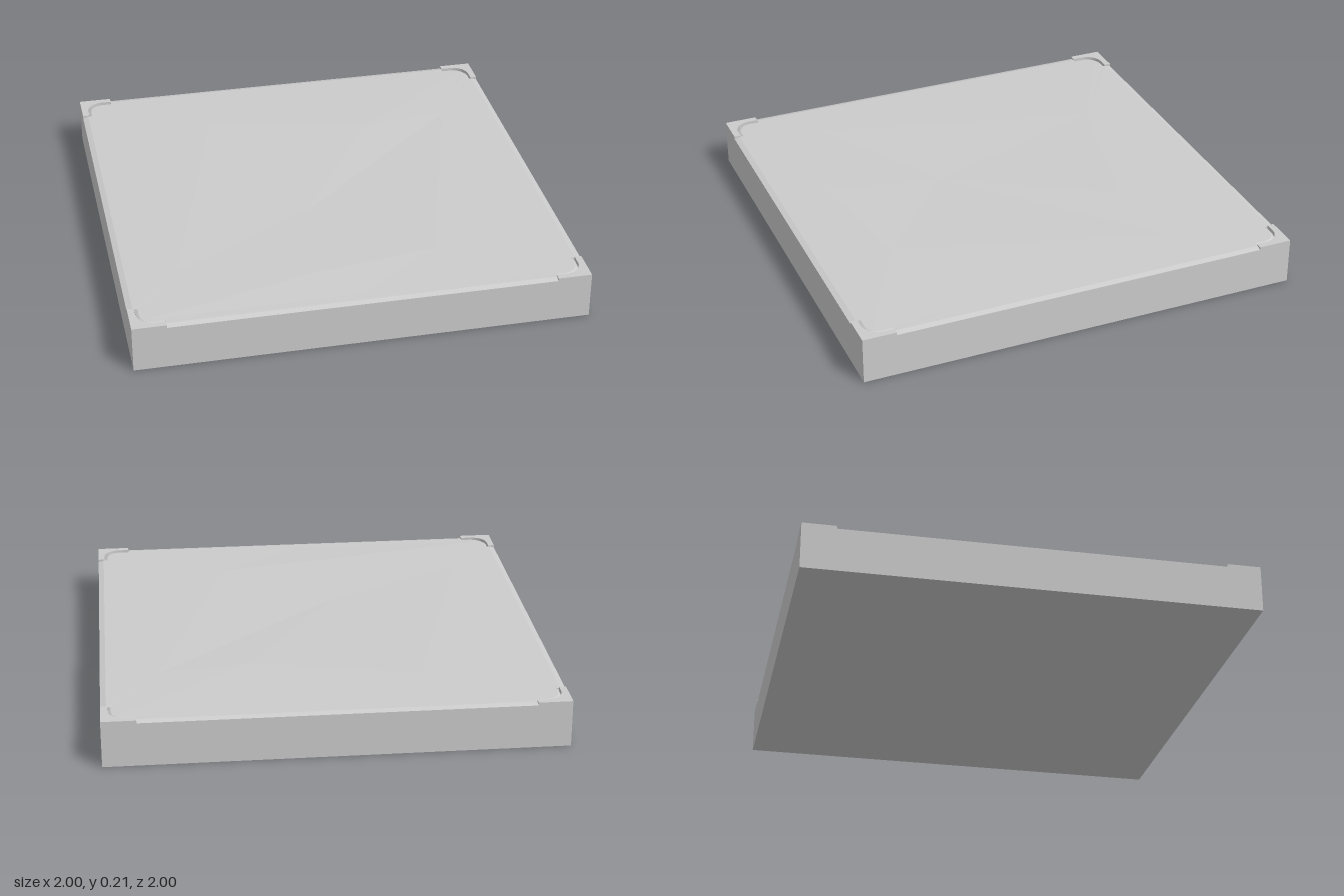
import * as THREE from 'three';

const BASE_TOP = 0.19, TOP = 0.21;

// Quarter-turn k about y, from +x towards +z
function turn([x, z], k) {
  for (let i = 0; i < k; i++) [x, z] = [-z, x];
  return [x, z];
}

// Closed outline: straight sides, notched and rounded at each corner
function outline(side, inset, radius, y) {
  const corner = [[side, 0.85], [inset, 0.85]];
  for (let i = 0; i < 5; i++) {
    const a = (i / 4) * Math.PI / 2;
    corner.push([0.895 + radius * Math.cos(a), 0.895 + radius * Math.sin(a)]);
  }
  corner.push([0.85, inset], [0.85, side]);
  const ring = [];
  for (let k = 0; k < 4; k++) {
    for (const p of corner) {
      const [x, z] = turn(p, k);
      ring.push(new THREE.Vector3(x, y, z));
    }
  }
  return ring;
}

function groundGeometry() {
  const rim = outline(0.975, 0.955, 0.06, 0.204);
  const edge = outline(1, 0.967, 0.072, 0.197);
  const foot = outline(1, 0.967, 0.072, BASE_TOP);
  const n = rim.length;
  const positions = [];
  const tri = (...pts) => pts.forEach((p) => positions.push(p.x, p.y, p.z));

  // Gentle bumps and hollows
  const P = [
    [-0.4, 0.213, -0.66], [0.34, 0.214, -0.48], [0.74, 0.208, -0.53], [-0.1, 0.206, 0.23],
    [-0.75, 0.207, 0.6], [-0.2, 0.213, 0.75], [0.39, 0.208, 0.65], [0, 0.205, 0.93],
  ].map((p) => new THREE.Vector3(...p));
  const [C, D, A, B] = [0, 1, 2, 3].map((k) => rim[k * 9 + 4]);
  const facets = [
    [B, P[0], P[1]], [B, P[1], P[2]], [P[2], C, P[6]], [P[2], P[6], P[3]], [P[1], P[2], P[3]],
    [P[0], P[1], P[3]], [P[0], P[3], P[4]], [A, P[0], P[4]], [D, P[4], P[5]], [P[4], P[3], P[5]],
    [P[3], P[6], P[5]], [D, P[5], P[7]], [P[5], P[6], P[7]], [P[7], P[6], C],
  ];
  for (const [a, b, c] of facets) {
    const up = (b.z - a.z) * (c.x - a.x) - (b.x - a.x) * (c.z - a.z);
    if (up > 0) tri(a, b, c); else tri(a, c, b);
  }

  // Fans from the rim to the nearest inner point on each side
  [P[7], P[4], P[0], P[2]].forEach((apex, k) => {
    for (let i = 0; i < 9; i++) {
      const j = k * 9 + 4 + i;
      tri(rim[(j + 1) % n], rim[j % n], apex);
    }
  });

  // Bevel and short skirt
  for (const [low, high] of [[edge, rim], [foot, edge]]) {
    for (let i = 0; i < n; i++) {
      const j = (i + 1) % n;
      tri(low[j], low[i], high[i]);
      tri(low[j], high[i], high[j]);
    }
  }

  const geo = new THREE.BufferGeometry();
  geo.setAttribute('position', new THREE.Float32BufferAttribute(positions, 3));
  geo.computeVertexNormals();
  return geo;
}

// L-shaped corner with a rounded inside
function bracketGeometry() {
  const s = new THREE.Shape();
  s.moveTo(0.97, 0.85);
  s.lineTo(1, 0.85);
  s.lineTo(1, 1);
  s.lineTo(0.85, 1);
  s.lineTo(0.85, 0.97);
  s.lineTo(0.895, 0.97);
  s.absarc(0.895, 0.895, 0.075, Math.PI / 2, 0, true);
  s.closePath();
  const geo = new THREE.ExtrudeGeometry(s, { depth: TOP - BASE_TOP, bevelEnabled: false, curveSegments: 6 });
  return geo.rotateX(Math.PI / 2).translate(0, TOP, 0);
}

export function createModel() {
  const model = new THREE.Group();
  model.name = 'floorTile';
  const material = new THREE.MeshStandardMaterial({ color: 0xcccccc, flatShading: true });
  const add = (geometry, name) => {
    const mesh = new THREE.Mesh(geometry, material);
    mesh.name = name;
    model.add(mesh);
    return mesh;
  };

  add(new THREE.BoxGeometry(2, BASE_TOP, 2).translate(0, BASE_TOP / 2, 0), 'base');
  add(groundGeometry(), 'groundSurface');

  const bracket = bracketGeometry();
  ['frontLeft', 'backLeft', 'backRight', 'frontRight'].forEach((name, k) => {
    add(bracket, name + 'Corner').rotation.y = k * Math.PI / 2;
  });
  return model;
}
